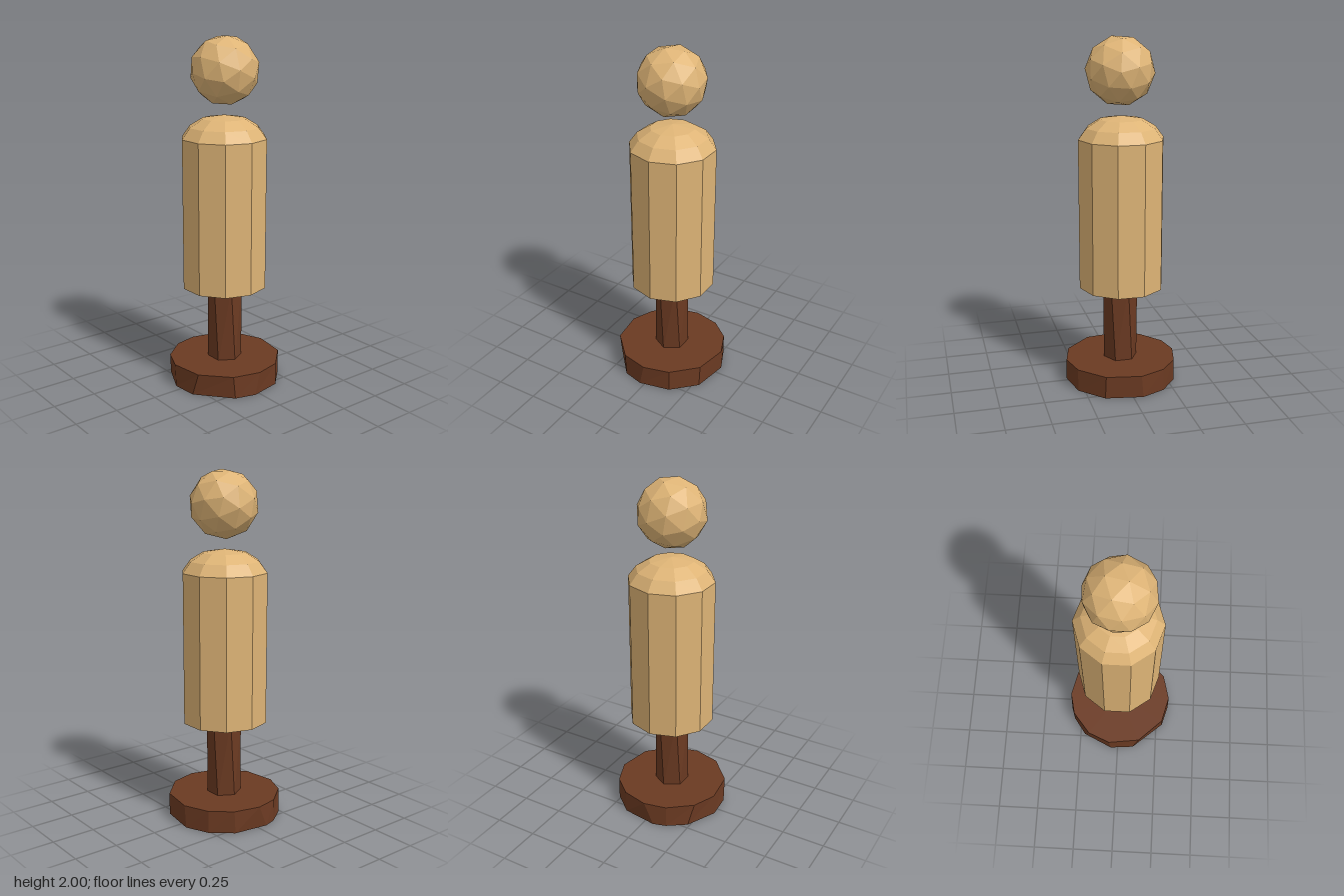
import * as THREE from 'three';

const tan = new THREE.MeshStandardMaterial({ color: 0xdeb476, flatShading: true });
const brown = new THREE.MeshStandardMaterial({ color: 0x6b3a22, flatShading: true });

// Closed, slightly twisted prism between two rings of angles (degrees from +z towards +x)
function twistedPrism(bottom, top, radius, y0, y1) {
  const n = top.length;
  const pos = [];
  const ring = (angles, y) => angles.map((d) => {
    const a = THREE.MathUtils.degToRad(d);
    return [radius * Math.sin(a), y, radius * Math.cos(a)];
  });
  const lo = ring(bottom, y0);
  const hi = ring(top, y1);
  for (let i = 0; i < n; i++) {
    const j = (i + 1) % n;
    pos.push(...lo[i], ...lo[j], ...hi[j], ...lo[i], ...hi[j], ...hi[i]);
    pos.push(0, y1, 0, ...hi[i], ...hi[j], 0, y0, 0, ...lo[j], ...lo[i]);
  }
  const geometry = new THREE.BufferGeometry();
  geometry.setAttribute('position', new THREE.Float32BufferAttribute(pos, 3));
  geometry.computeVertexNormals();
  return geometry;
}

export function createModel() {
  const model = new THREE.Group();
  model.name = 'pawnFigure';
  const add = (name, geometry, material) => {
    const mesh = new THREE.Mesh(geometry, material);
    mesh.name = name;
    model.add(mesh);
    return mesh;
  };

  // Irregular twelve-sided base
  add('base', twistedPrism(
    [-5, 28, 61, 100, 126, 153, 190, 204, 227, 262, 288, 333],
    [0, 28, 62, 98, 126, 152, 180, 204, 234, 260, 295, 331],
    0.325, 0, 0.13), brown);

  // Six-sided stem with a slight twist, running up into the body
  const hexagon = [0, 60, 120, 180, 240, 300];
  add('stem', twistedPrism(hexagon, hexagon.map((a) => a - 15), 0.099, 0.12, 0.58), brown);

  // Ten-sided body with a shallow domed shoulder
  const profile = [[0, 0.57], [0.246, 0.57], [0.246, 1.435], [0.2, 1.497], [0.125, 1.543], [0, 1.563]];
  const body = add('body', new THREE.LatheGeometry(
    profile.map(([r, y]) => new THREE.Vector2(r, y)), 10), tan);
  body.position.z = -0.006;

  // Faceted ball head floating above the body
  const head = add('head', new THREE.IcosahedronGeometry(0.194, 1), tan);
  head.rotation.set(0.2, 0.35, 0.1);
  head.position.y = 1.808;

  return model;
}
